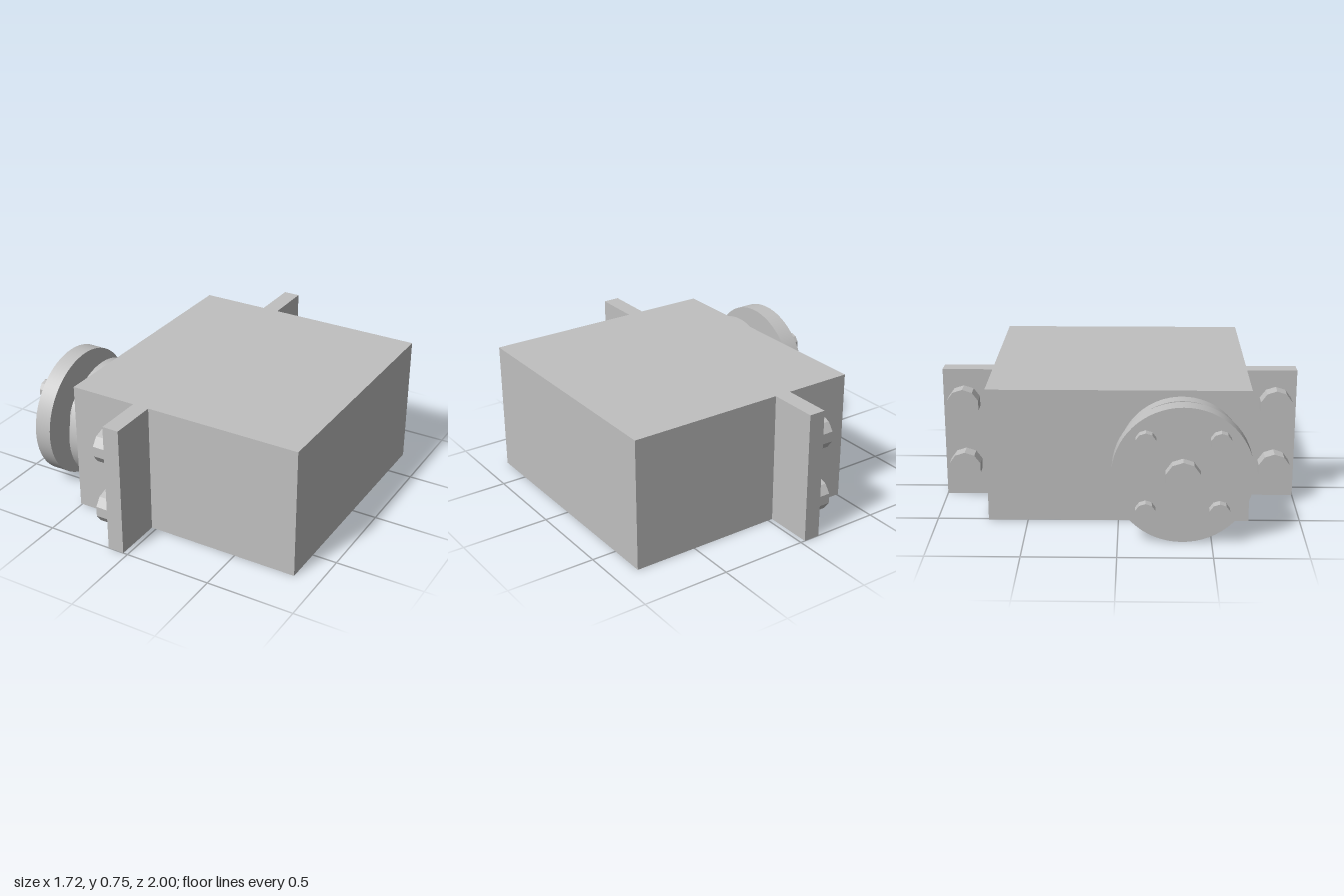
import * as THREE from 'three';

export function createModel() {
  const model = new THREE.Group();
  model.name = 'servoMotor';
  const grey = new THREE.MeshStandardMaterial({ color: 0xc0c0c0 });
  grey.name = 'light grey';
  const boltGrey = grey.clone(); // same colour, faceted
  boltGrey.name = 'light grey faceted';
  boltGrey.flatShading = true;

  const add = (name, geometry, material = grey) => {
    const mesh = new THREE.Mesh(geometry, material);
    mesh.name = name;
    model.add(mesh);
  };
  const box = (name, x0, x1, height, depth, z) => {
    const g = new THREE.BoxGeometry(x1 - x0, height, depth);
    add(name, g.translate((x0 + x1) / 2, height / 2, z));
  };
  // Cylinder lying along x, with a corner pointing up
  const disc = (name, x0, x1, r, y, z, sides = 64) => {
    const g = new THREE.CylinderGeometry(r, r, x1 - x0, sides, 1, false, Math.PI / 2);
    g.rotateZ(Math.PI / 2).translate((x0 + x1) / 2, y, z);
    add(name, g, sides < 20 ? boltGrey : grey);
  };

  // Case
  box('case', -0.51, 0.86, 0.752, 1.436, 0);

  // Mounting ears with two bolts each
  for (const s of [1, -1]) {
    box('mountingEar', -0.122, -0.027, 0.752, 0.282, s * 0.859);
    for (const y of [0.189, 0.564]) disc('earBolt', -0.212, -0.122, 0.093, y, s * 0.882, 10);
  }

  // Output shaft and horn
  const cy = 0.376, cz = 0.342;
  disc('shaftCollar', -0.59, -0.51, 0.343, cy, cz);
  disc('shaft', -0.705, -0.59, 0.187, cy, cz);
  disc('horn', -0.8, -0.702, 0.375, cy, cz);
  disc('hornCentreBolt', -0.864, -0.8, 0.097, cy, cz, 10);
  for (const a of [-0.195, 0.195])
    for (const b of [-0.195, 0.195]) disc('hornBolt', -0.852, -0.8, 0.057, cy + a, cz + b, 10);

  return model;
}
